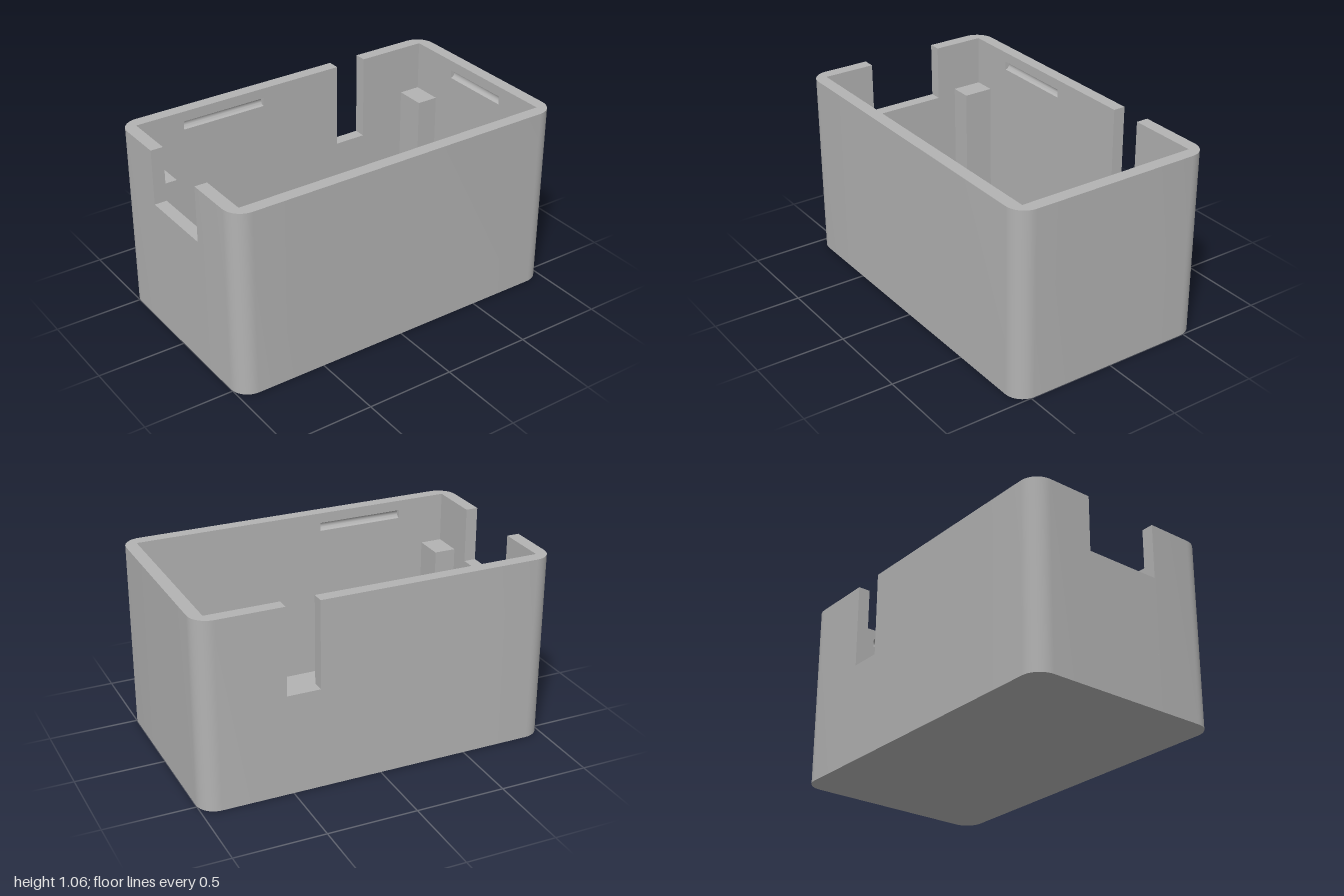
import * as THREE from 'three';
import { toCreasedNormals } from 'three/addons/utils/BufferGeometryUtils.js';

const W = 1, D = 0.585, H = 1.06, R = 0.105;   // outer half width, half depth, height, corner radius
const IW = 0.93, ID = 0.515, FLOOR = 0.07;     // inner half width, half depth, floor level
const GROOVE_Y = 0.978, GROOVE_R = 0.024;

// Collects triangles for one part.
class Surface {
  constructor() { this.data = []; }
  tri(a, b, c) {
    const ab = b.clone().sub(a), ac = c.clone().sub(a);
    if (ab.cross(ac).lengthSq() < 1e-14) return;
    for (const p of [a, b, c]) this.data.push(p.x, p.y, p.z);
  }
  quad(a, b, c, d) { this.tri(a, b, c); this.tri(a, c, d); }
  mesh(name, material) {
    const g = new THREE.BufferGeometry();
    g.setAttribute('position', new THREE.Float32BufferAttribute(this.data, 3));
    const m = new THREE.Mesh(toCreasedNormals(g, 0.6), material);
    m.name = name;
    return m;
  }
}

// Rounded outline, split where notches and grooves begin and end.
function outline() {
  const pts = [];
  const corner = (sx, sz, quarter) => {
    for (let i = 0; i <= 10; i++) {
      const t = (quarter + i / 10) * Math.PI / 2;
      pts.push([sx * (W - R) + R * Math.cos(t), sz * (D - R) + R * Math.sin(t)]);
    }
  };
  pts.push([W, -0.21], [W, 0.21]);
  corner(1, 1, 0);
  pts.push([-0.15, D], [-0.65, D]);
  corner(-1, 1, 1);
  pts.push([-W, 0.22], [-W, -0.225]);
  corner(-1, -1, 2);
  pts.push([-0.65, -D], [-0.15, -D], [0.345, -D], [0.53, -D]);
  corner(1, -1, 3);
  return pts;
}

// Wall height at a point on the outline: lower in the two notches.
function wallTop(x, z) {
  if (z < -D + 0.001 && x > 0.345 && x < 0.53) return 0.57;
  if (x < -W + 0.001 && z > -0.225 && z < 0.22) return 0.745;
  return H;
}

// Outward direction of the lid groove at a point, or null where there is none.
function grooveDir(x, z) {
  if (x > W - 0.001 && Math.abs(z) < 0.21) return new THREE.Vector3(1, 0, 0);
  if (Math.abs(z) > D - 0.001 && x > -0.65 && x < -0.15) return new THREE.Vector3(0, 0, Math.sign(z));
  return null;
}

export function createModel() {
  const group = new THREE.Group();
  group.name = 'openBox';
  const grey = new THREE.MeshStandardMaterial({ color: 0xb3b3b3 });
  grey.name = 'grey';

  const outer = new Surface(), inner = new Surface(), rim = new Surface();
  const grooves = new Surface(), floor = new Surface(), base = new Surface();
  const pts = outline(), n = pts.length;
  const out = (p, y) => new THREE.Vector3(p[0], y, p[1]);
  const inn = (p, y) => new THREE.Vector3(
    THREE.MathUtils.clamp(p[0], -IW, IW), y, THREE.MathUtils.clamp(p[1], -ID, ID));
  const mid = (a, b) => [(a[0] + b[0]) / 2, (a[1] + b[1]) / 2];
  const centre = new THREE.Vector3();

  for (let i = 0; i < n; i++) {
    const a = pts[i], b = pts[(i + 1) % n], prev = pts[(i + n - 1) % n];
    const h = wallTop(...mid(a, b)), hPrev = wallTop(...mid(prev, a));

    // Outer skin, underside and rim
    outer.quad(out(a, 0), out(a, h), out(b, h), out(b, 0));
    base.tri(centre, out(a, 0), out(b, 0));
    rim.quad(inn(a, h), inn(b, h), out(b, h), out(a, h));

    // Upright sides of the notches
    if (h !== hPrev) rim.quad(inn(a, h), out(a, h), out(a, hPrev), inn(a, hPrev));

    // Inner skin, with a half-round groove where the lid snaps in
    const wall = (y0, y1) => inner.quad(inn(b, y0), inn(b, y1), inn(a, y1), inn(a, y0));
    const dir = grooveDir(...mid(a, b));
    if (!dir) {
      wall(FLOOR, h);
      continue;
    }
    wall(FLOOR, GROOVE_Y - GROOVE_R);
    wall(GROOVE_Y + GROOVE_R, h);
    const at = (p, k) => {
      const t = (k / 8 - 0.5) * Math.PI;
      return inn(p, GROOVE_Y + GROOVE_R * Math.sin(t)).addScaledVector(dir, GROOVE_R * Math.cos(t));
    };
    for (let k = 0; k < 8; k++) {
      grooves.quad(at(b, k), at(b, k + 1), at(a, k + 1), at(a, k));
      grooves.tri(inn(a, GROOVE_Y), at(a, k), at(a, k + 1));
      grooves.tri(inn(b, GROOVE_Y), at(b, k + 1), at(b, k));
    }
  }

  // Inside floor
  const f = (x, z) => new THREE.Vector3(x, FLOOR, z);
  floor.quad(f(-IW, -ID), f(-IW, ID), f(IW, ID), f(IW, -ID));

  group.add(
    outer.mesh('outerWall', grey), inner.mesh('innerWall', grey), rim.mesh('rimAndNotches', grey),
    grooves.mesh('lidGrooves', grey), floor.mesh('floor', grey), base.mesh('underside', grey));

  // Square support posts in the four corners
  const pw = 0.125, pd = 0.175, ph = 0.775 - FLOOR;
  for (const sx of [-1, 1]) for (const sz of [-1, 1]) {
    const post = new THREE.Mesh(new THREE.BoxGeometry(pw, ph, pd), grey);
    post.position.set(sx * (IW - pw / 2), FLOOR + ph / 2, sz * (ID - pd / 2));
    post.name = 'cornerPost';
    group.add(post);
  }
  return group;
}
